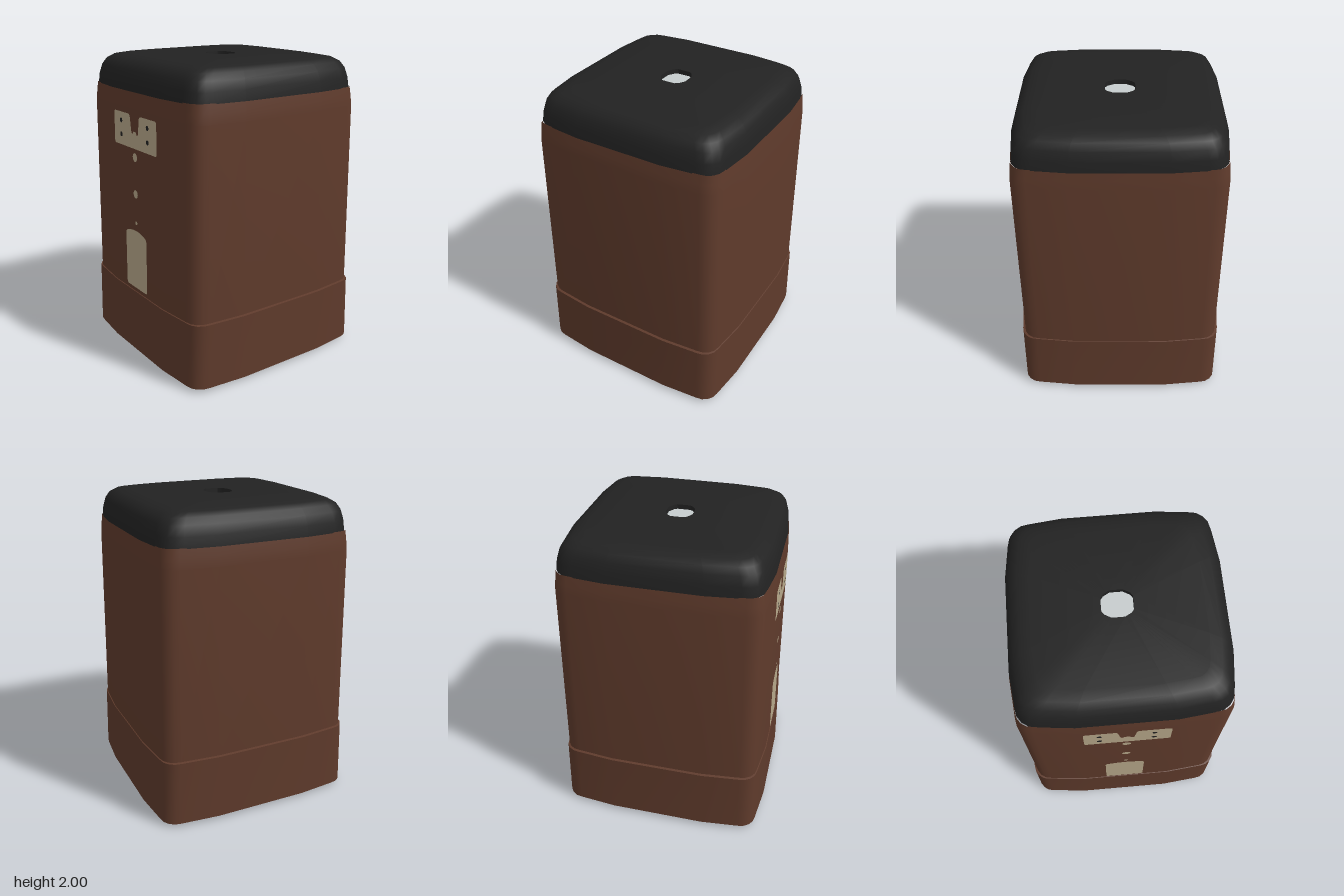
import * as THREE from 'three';
import { toCreasedNormals } from 'three/addons/utils/BufferGeometryUtils.js';

const mat = (name, color) => Object.assign(new THREE.MeshStandardMaterial({ color }), { name });

// Unit cross-section: slightly bulging square with round corners, as [x, z] pairs
function ring(r) {
  const e = 0.964, s = e - r, side = [[-s, e], [-0.45, 1], [0.45, 1], [s, e]];
  for (const a of [1, 2, 3].map(i => i * Math.PI / 8)) side.push([s + r * Math.sin(a), s + r * Math.cos(a)]);
  const out = [];
  for (let k = 0; k < 4; k++) {
    const c = Math.round(Math.cos(k * Math.PI / 2)), n = Math.round(Math.sin(k * Math.PI / 2));
    for (const [u, w] of side) out.push([u * c + w * n, w * c - u * n]);
  }
  return out;
}

// Hexagon sampled in the same directions as a ring
function hexRing(pts, radius) {
  const step = Math.PI / 3;
  return pts.map(([x, z]) => {
    const t = Math.atan2(x, z) + Math.PI * 2;
    const d = radius * Math.cos(step / 2) / Math.cos((t % step) - step / 2);
    return [d * Math.sin(t), d * Math.cos(t)];
  });
}

// Skin through a stack of layers {y, pts}
function loft(layers) {
  const n = layers[0].pts.length, pos = [], idx = [];
  for (const { y, pts } of layers) for (const [x, z] of pts) pos.push(x, y, z);
  for (let l = 0; l < layers.length - 1; l++) for (let i = 0; i < n; i++) {
    const a = l * n + i, b = l * n + (i + 1) % n;
    idx.push(a, b, b + n, a, b + n, a + n);
  }
  const g = new THREE.BufferGeometry();
  g.setAttribute('position', new THREE.Float32BufferAttribute(pos, 3));
  g.setIndex(idx);
  return toCreasedNormals(g, 0.6);
}

const layer = (pts, y, hx, hz) => ({ y, pts: pts.map(([x, z]) => [x * hx, z * hz]) });

// Depth of the flat, leaning centre of the front
const frontZ = y => 0.68 - 0.02 * (y - 0.46) / 1.22;

export function createModel() {
  const group = new THREE.Group();
  const brown = mat('brown', 0x5e3a2b), black = mat('black', 0x222222);
  const tan = mat('tan', 0xb6a78a), grey = mat('light grey', 0xc6cccd);
  const add = (name, geo, m) => {
    const mesh = new THREE.Mesh(geo, m);
    mesh.name = name;
    group.add(mesh);
    return mesh;
  };

  // Wider base with a small ledge, closed underneath
  const sharp = ring(0.15), soft = ring(0.19);
  add('base', loft([
    [0, 0, 0], [0.005, 0.65, 0.65], [0.025, 0.692, 0.695], [0.455, 0.688, 0.685], [0.46, 0.665, 0.67],
  ].map(a => layer(sharp, ...a))), brown);

  // Main body with a drawn-in shoulder
  add('body', loft([
    [0.45, 0.672, 0.68], [1.68, 0.668, 0.66], [1.74, 0.662, 0.655], [1.8, 0.652, 0.65],
  ].map(a => layer(sharp, ...a))), brown);

  // Rounded lid with a hexagonal opening
  const lid = [
    [1.795, 0.655, 0.653], [1.86, 0.647, 0.646], [1.92, 0.63, 0.63],
    [1.96, 0.605, 0.605], [1.985, 0.565, 0.565], [1.998, 0.5, 0.5],
  ].map(a => layer(soft, ...a));
  const hole = hexRing(soft, 0.108);
  lid.push({ y: 2, pts: hole }, { y: 1.95, pts: hole });
  add('lid', loft(lid), black);
  add('lidPlug', new THREE.CylinderGeometry(0.115, 0.115, 0.02, 6), grey).position.y = 1.96;

  // Thin markings laid on the front
  const mark = (name, shape, m, lift = 0.004) => {
    const g = new THREE.ShapeGeometry(shape, 10), p = g.attributes.position;
    for (let i = 0; i < p.count; i++) p.setZ(i, frontZ(p.getY(i)) + lift);
    g.computeVertexNormals();
    return add(name, g, m);
  };
  const disc = (x, y, r) => new THREE.Shape().absarc(x, y, r, 0, Math.PI * 2);

  // Notched upper plate
  const plate = new THREE.Shape();
  plate.moveTo(-0.24, 1.44).lineTo(0.25, 1.44).quadraticCurveTo(0.268, 1.44, 0.268, 1.46)
    .lineTo(0.268, 1.635).quadraticCurveTo(0.268, 1.655, 0.25, 1.655)
    .lineTo(0.085, 1.655).quadraticCurveTo(0.06, 1.655, 0.057, 1.63)
    .lineTo(0.045, 1.535).lineTo(0.03, 1.53).lineTo(0.015, 1.55).lineTo(-0.01, 1.55)
    .lineTo(-0.03, 1.53).lineTo(-0.04, 1.55).lineTo(-0.053, 1.63).quadraticCurveTo(-0.056, 1.655, -0.08, 1.655)
    .lineTo(-0.24, 1.655).quadraticCurveTo(-0.26, 1.655, -0.26, 1.635)
    .lineTo(-0.26, 1.46).quadraticCurveTo(-0.26, 1.44, -0.24, 1.44);
  mark('upperPlate', plate, tan);
  for (const x of [-0.165, 0.165]) for (const y of [1.51, 1.6])
    mark('plateHole', disc(x, y, 0.016), black, 0.007);

  // Row of dots
  for (const [y, r] of [[1.385, 0.028], [1.143, 0.027], [0.947, 0.013]]) mark('dot', disc(0, y, r), tan);

  // Arched lower panel
  const panel = new THREE.Shape();
  panel.moveTo(-0.115, 0.485).lineTo(0.1, 0.485).quadraticCurveTo(0.126, 0.485, 0.126, 0.51)
    .lineTo(0.126, 0.845).quadraticCurveTo(0.126, 0.865, 0.105, 0.873)
    .quadraticCurveTo(0, 0.912, -0.118, 0.873).quadraticCurveTo(-0.139, 0.865, -0.139, 0.845)
    .lineTo(-0.139, 0.51).quadraticCurveTo(-0.139, 0.485, -0.115, 0.485);
  mark('lowerPanel', panel, tan);

  return group;
}
